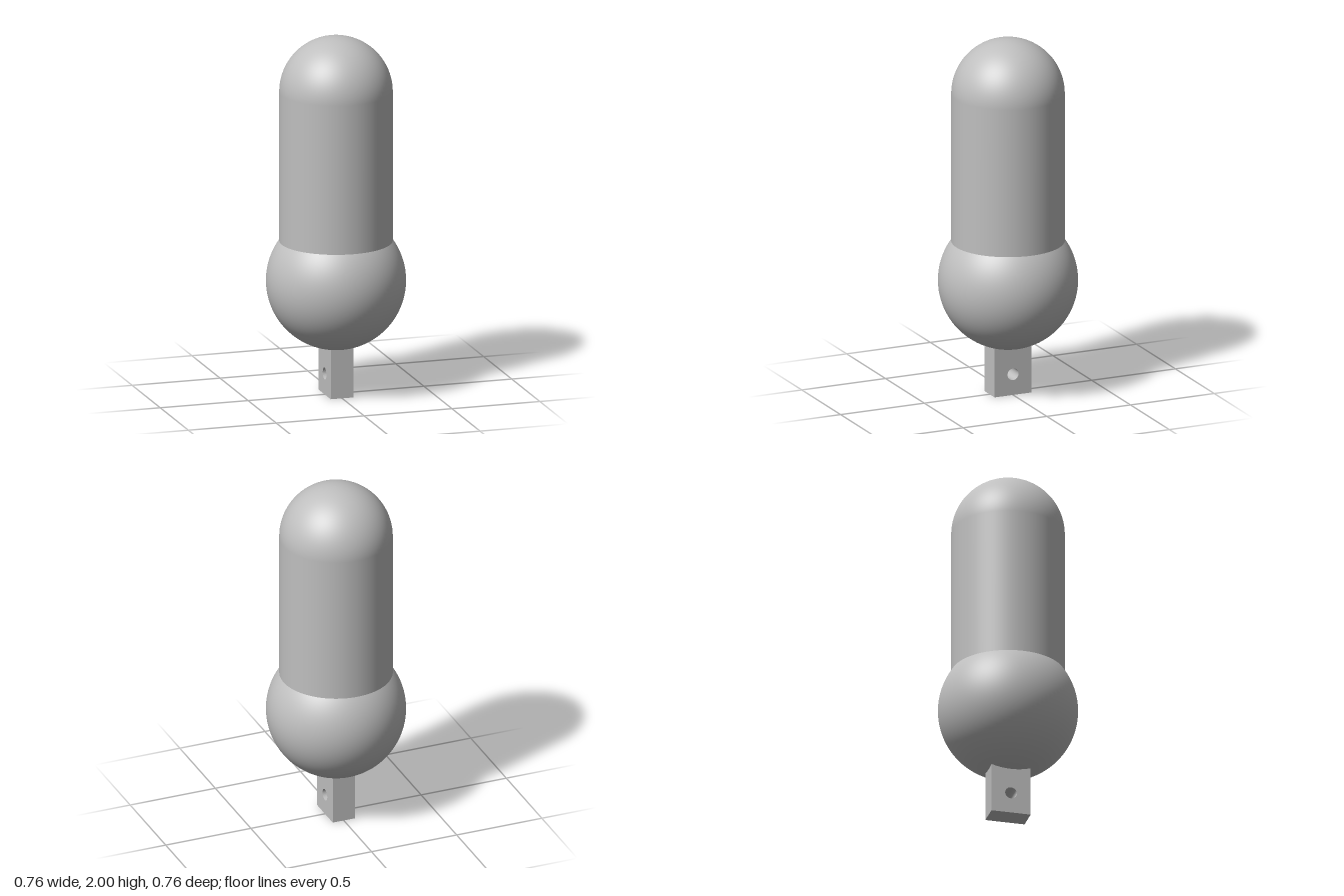
import * as THREE from 'three';

export function createModel() {
  const group = new THREE.Group();
  group.name = 'plumbHandle';
  const grey = new THREE.MeshStandardMaterial({ color: 0xbfbfbf });
  grey.name = 'plain grey';

  const add = (name, geometry) => {
    const mesh = new THREE.Mesh(geometry, grey);
    mesh.name = name;
    group.add(mesh);
    return mesh;
  };

  const bulbR = 0.38, bulbY = 0.635, barrelR = 0.308;
  const seam = Math.asin(barrelR / bulbR); // polar angle where barrel meets bulb
  const seamY = bulbY + bulbR * Math.cos(seam);
  const domeY = 2 - barrelR;

  // Round bulb, open under the barrel
  add('bulb', new THREE.SphereGeometry(bulbR, 96, 48, 0, Math.PI * 2, seam, Math.PI - seam))
    .position.y = bulbY;

  // Straight barrel with a hemispherical cap
  const profile = [new THREE.Vector2(barrelR, seamY)];
  const steps = 24;
  for (let i = 0; i <= steps; i++) {
    const a = (i / steps) * Math.PI / 2;
    profile.push(new THREE.Vector2(
      i === steps ? 0 : barrelR * Math.cos(a), domeY + barrelR * Math.sin(a)));
  }
  add('domedBarrel', new THREE.LatheGeometry(profile, 96));

  // Mounting tab with a pin hole running left to right
  const halfZ = 0.11, thickness = 0.13;
  const tab = new THREE.Shape();
  tab.moveTo(-halfZ, 0);
  tab.lineTo(halfZ, 0);
  tab.lineTo(halfZ, 0.3);
  tab.lineTo(-halfZ, 0.3);
  tab.closePath();
  const hole = new THREE.Path();
  hole.absarc(0, 0.117, 0.033, 0, Math.PI * 2, true);
  tab.holes.push(hole);
  const tabGeometry = new THREE.ExtrudeGeometry(tab, {
    depth: thickness, bevelEnabled: false, curveSegments: 32,
  });
  tabGeometry.translate(0, 0, -thickness / 2).rotateY(Math.PI / 2);
  add('mountingTab', tabGeometry);

  return group;
}
